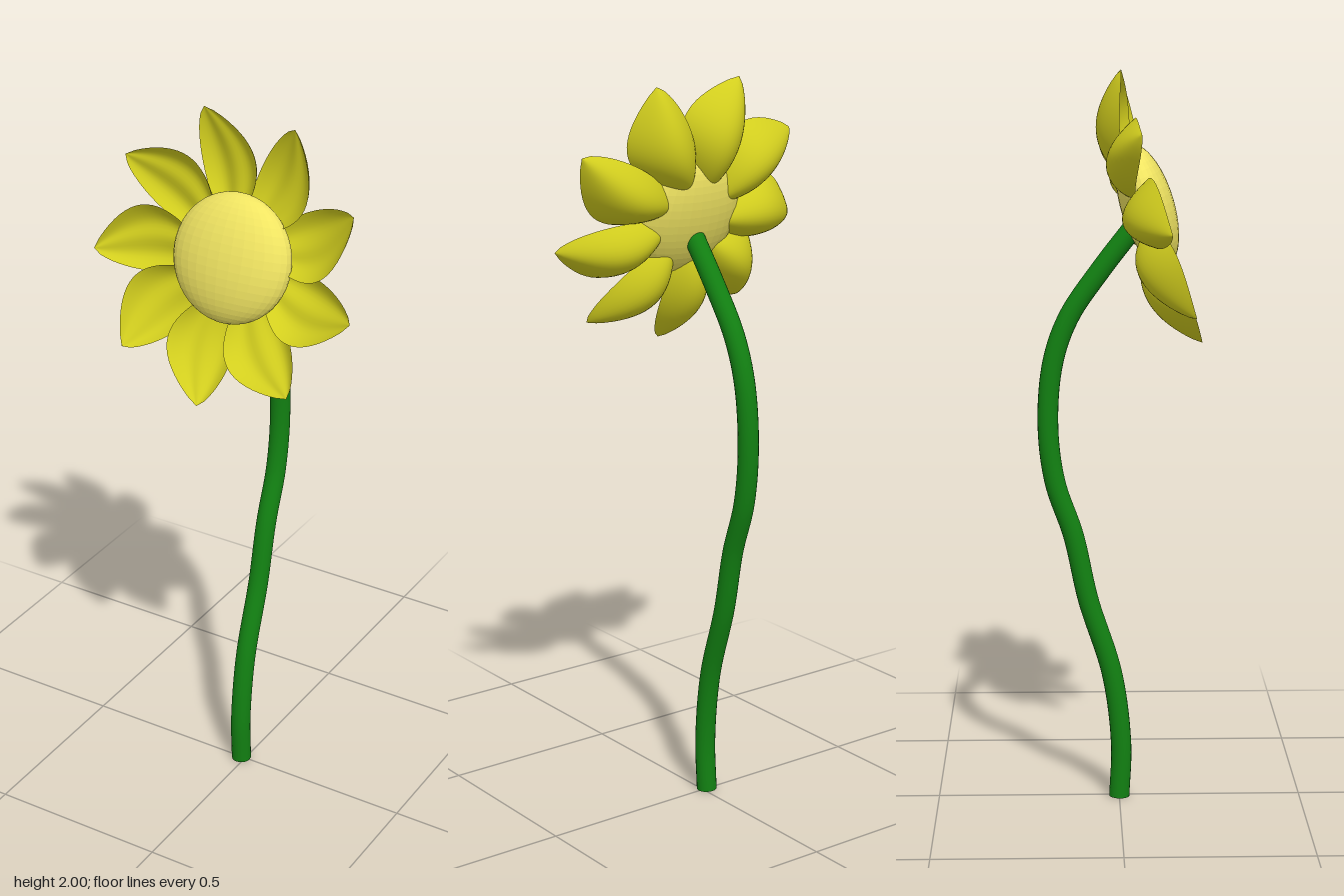
import * as THREE from 'three';
import { ParametricGeometry } from 'three/addons/geometries/ParametricGeometry.js';

const PETALS = 9;
const TILT = 0.296; // the flower head leans back and looks slightly upwards

const yellow = new THREE.MeshStandardMaterial({ color: 0xd2ce1e, side: THREE.DoubleSide });
const cream = new THREE.MeshStandardMaterial({ color: 0xf0e462, flatShading: true });
const green = new THREE.MeshStandardMaterial({ color: 0x128012 });

function addMesh(parent, name, geometry, material) {
  const mesh = new THREE.Mesh(geometry, material);
  mesh.name = name;
  parent.add(mesh);
  return mesh;
}

// One face of a petal: x runs outwards, y across, z towards the front.
function petalFace(front) {
  const geometry = new ParametricGeometry((u, v, p) => {
    const a = (front ? -1 : 1) * (2 * u - 1);
    const bulge = Math.max(0, Math.sin(Math.PI * v));
    const width = 0.088 * Math.pow(bulge, 0.75);
    const hollow = (1 - a * a) * Math.pow(bulge, 0.8);
    // cupped back; shallower front with a soft ridge along the middle
    const depth = front
      ? -0.05 * hollow + 0.022 * hollow * Math.pow(Math.cos(a * Math.PI / 2), 4)
      : -0.078 * hollow;
    p.set(
      0.08 + 0.31 * v,
      -0.036 * bulge + a * width,
      -0.06 * (1 - v) - 0.022 * a * bulge + depth
    );
  }, 16, 20);
  geometry.computeVertexNormals();
  return geometry;
}

export function createModel() {
  const model = new THREE.Group();
  model.name = 'flower';

  // Stem: winding round tube, capped at both ends
  const path = [
    [0, 0], [0.005, 0.15], [-0.02, 0.35], [-0.085, 0.56], [-0.125, 0.74], [-0.175, 0.89],
    [-0.193, 1.05], [-0.178, 1.22], [-0.135, 1.34], [-0.05, 1.465], [0.035, 1.575]
  ].map(([z, y]) => new THREE.Vector3(-0.013 + 0.009 * y, y, z));
  const curve = new THREE.CatmullRomCurve3(path);
  const radius = 0.028;
  const stem = new THREE.Group();
  stem.name = 'stem';
  model.add(stem);
  addMesh(stem, 'stemTube', new THREE.TubeGeometry(curve, 80, radius, 20), green);
  const foot = addMesh(stem, 'stemFoot', new THREE.CircleGeometry(radius, 20), green);
  foot.position.copy(path[0]);
  foot.rotation.x = Math.PI / 2;
  const tip = addMesh(stem, 'stemTip', new THREE.SphereGeometry(radius, 20, 12), green);
  tip.position.copy(path[path.length - 1]);

  // Flower head
  const head = new THREE.Group();
  head.name = 'flowerHead';
  head.position.set(0, 1.643, 0.11);
  head.rotation.x = -TILT;
  model.add(head);

  // Seed disc: flattened faceted ball
  const disc = addMesh(head, 'seedDisc', new THREE.SphereGeometry(0.17, 32, 24), cream);
  disc.scale.z = 0.42;
  disc.position.set(0.006, 0.003, -0.035);

  // Ring of cupped petals
  const frontFace = petalFace(true);
  const backFace = petalFace(false);
  for (let i = 0; i < PETALS; i++) {
    const petal = new THREE.Group();
    petal.name = 'petal' + (i + 1);
    petal.rotation.z = THREE.MathUtils.degToRad(28) + (i * 2 * Math.PI) / PETALS;
    addMesh(petal, 'petalFront', frontFace, yellow);
    addMesh(petal, 'petalBack', backFace, yellow);
    head.add(petal);
  }
  return model;
}
